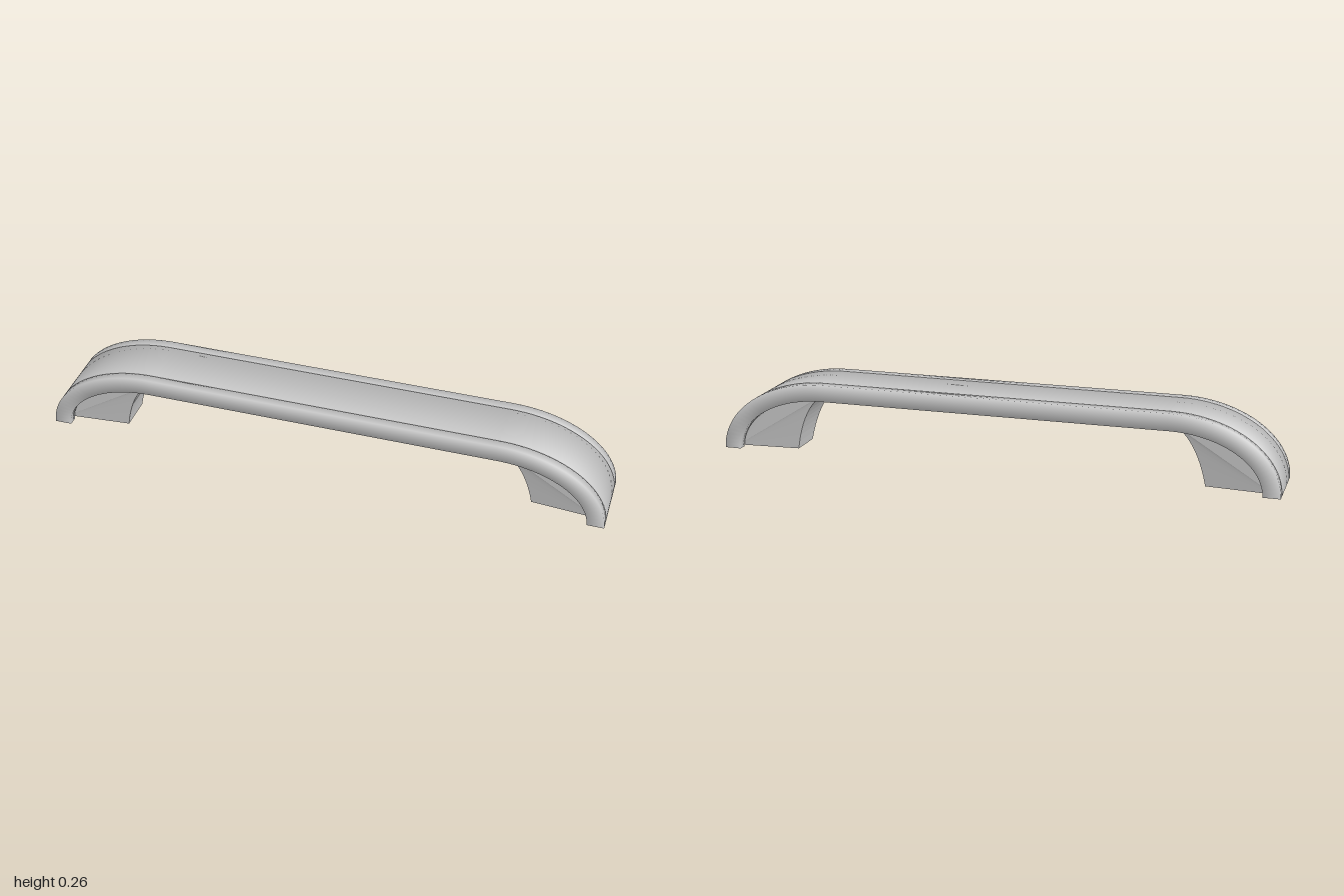
import * as THREE from 'three';

const RUN = 0.62, RX = 0.38, RY = 0.26, STEPS = 24;
const material = new THREE.MeshStandardMaterial({ color: 0xcccccc });

// Stations along the arch: quarter ellipse up, straight run, quarter ellipse down
const stations = [];
for (const side of [-1, 1]) {
  for (let k = 0; k <= STEPS; k++) {
    const a = (side < 0 ? k : STEPS - k) / STEPS * Math.PI / 2;
    stations.push({ side, c: Math.cos(a), s: Math.sin(a) });
  }
}

// Sweep a rectangular bar (z0..z1 wide, d0..d1 below the outer curve) with softened edges
function sweepBar(name, z0, z1, d0, d1) {
  const pos = [], nor = [], idx = [];
  const corners = [[z1, d0, 1, 1], [z0, d0, -1, 1], [z0, d1, -1, -1], [z1, d1, 1, -1]];
  const place = ({ side, c, s }, z, d) => [side * (RUN + (RX - d) * c), (RY - d) * s, z];
  for (const st of stations) {
    const out = new THREE.Vector3(st.side * st.c / RX, st.s / RY, 0).normalize();
    for (const [z, d, nz, no] of corners) {
      pos.push(...place(st, z, d));
      nor.push(...out.clone().multiplyScalar(no).setZ(nz).normalize().toArray());
    }
  }
  for (let i = 0; i < stations.length - 1; i++) {
    for (let j = 0; j < 4; j++) {
      const a = i * 4 + j, c = i * 4 + (j + 1) % 4;
      idx.push(a, a + 4, c, c, a + 4, c + 4);
    }
  }
  // Flat end caps, both facing down
  for (const st of [stations[0], stations[stations.length - 1]]) {
    const b = pos.length / 3;
    for (const [z, d] of corners) {
      pos.push(...place(st, z, d));
      nor.push(0, -1, 0);
    }
    if (st.side < 0) idx.push(b, b + 1, b + 2, b, b + 2, b + 3);
    else idx.push(b, b + 2, b + 1, b, b + 3, b + 2);
  }
  const g = new THREE.BufferGeometry();
  g.setAttribute('position', new THREE.Float32BufferAttribute(pos, 3));
  g.setAttribute('normal', new THREE.Float32BufferAttribute(nor, 3));
  g.setIndex(idx);
  const mesh = new THREE.Mesh(g, material);
  mesh.name = name;
  return mesh;
}

// Mounting foot: follows the arch outside, concave inside, narrowing toward the middle
function footGeometry() {
  const shape = new THREE.Shape();
  shape.moveTo(0.74, 0);
  shape.lineTo(0.97, 0);
  for (let k = 1; k <= 12; k++) {
    const a = k / 12 * Math.PI / 2;
    shape.lineTo(RUN + 0.35 * Math.cos(a), 0.22 * Math.sin(a));
  }
  shape.quadraticCurveTo(0.71, 0.17, 0.74, 0);
  const g = new THREE.ExtrudeGeometry(shape, { depth: 2, bevelEnabled: false, curveSegments: 12 });
  const p = g.attributes.position;
  for (let i = 0; i < p.count; i++) {
    const x = p.getX(i), y = p.getY(i);
    const half = Math.min(0.086, 0.062 + 0.08 * Math.max(0, x - 0.74) + 0.1 * y);
    p.setZ(i, (p.getZ(i) - 1) * half);
  }
  g.computeVertexNormals();
  return g;
}

export function createModel() {
  const model = new THREE.Group();
  model.name = 'pullHandle';

  model.add(
    sweepBar('leftSideRail', 0.093, 0.125, 0, 0.06),
    sweepBar('rightSideRail', -0.125, -0.093, 0, 0.06),
    sweepBar('centrePanel', -0.088, 0.088, 0, 0.052),
    sweepBar('grooveFloor', -0.095, 0.095, 0.006, 0.05)
  );

  // Feet, turned about the vertical axis for the opposite end
  const foot = footGeometry();
  for (const side of [1, -1]) {
    const mesh = new THREE.Mesh(foot, material);
    mesh.name = side > 0 ? 'leftFoot' : 'rightFoot';
    if (side < 0) mesh.rotation.y = Math.PI;
    model.add(mesh);
  }
  return model;
}
